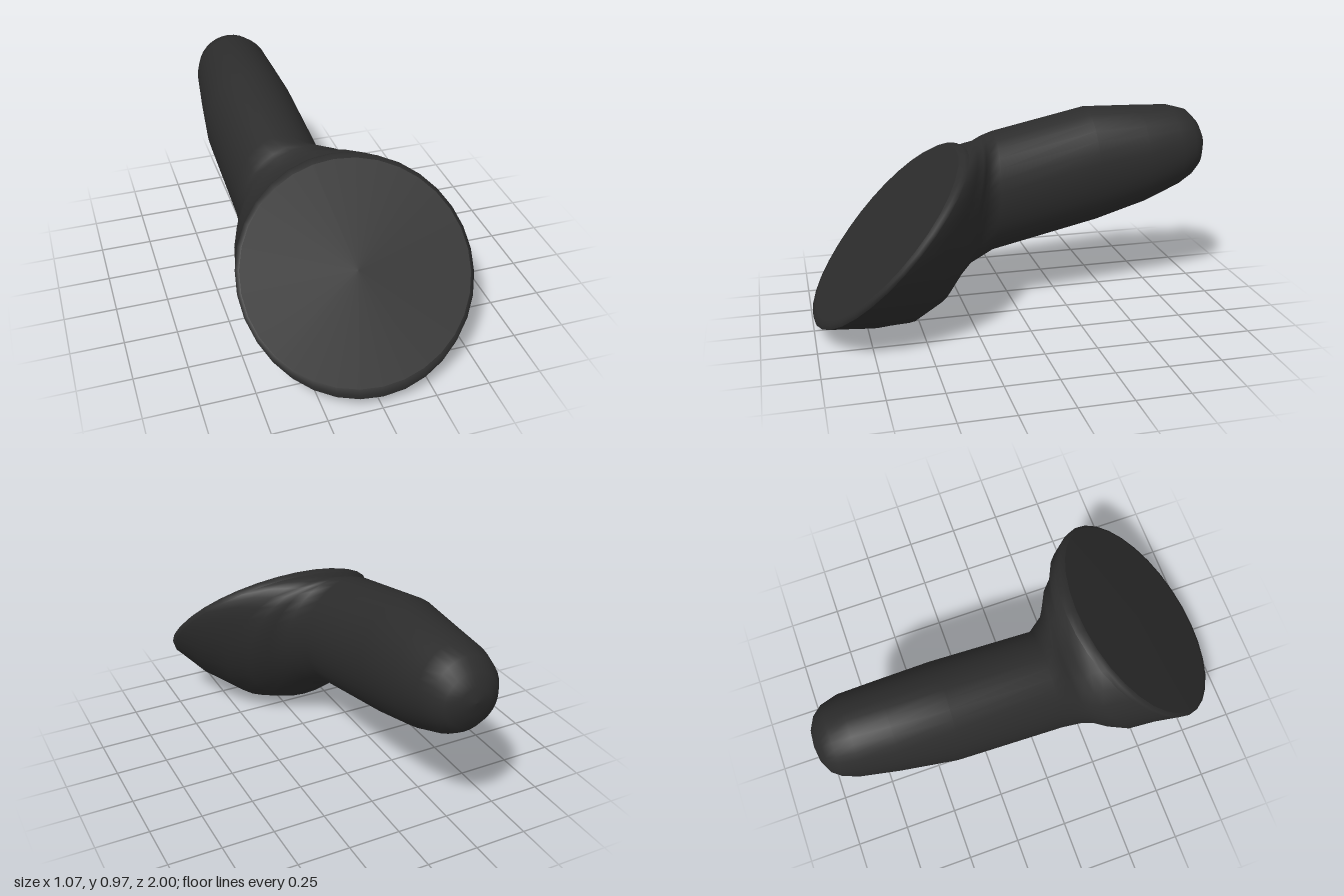
import * as THREE from 'three';

const SIDES = 32;
const material = new THREE.MeshStandardMaterial({ color: 0x2c2c2c });

// Skins elliptical rings, ordered from the face to the handle tip.
// Each ring: [topZ, topY, bottomZ, bottomY, centreX, halfWidth]
function loft(name, rings) {
  const positions = [];
  const index = [];
  rings.forEach(([tz, ty, bz, by, cx, w], i) => {
    for (let j = 0; j < SIDES; j++) {
      const a = (j / SIDES) * Math.PI * 2;
      const s = Math.sin(a) / 2;
      positions.push(
        cx + Math.cos(a) * w,
        (ty + by) / 2 + s * (ty - by),
        (tz + bz) / 2 + s * (tz - bz)
      );
      if (i === 0) continue;
      const k = (j + 1) % SIDES;
      const p = (i - 1) * SIDES;
      const q = i * SIDES;
      index.push(p + j, q + j, q + k, p + j, q + k, p + k);
    }
  });
  const geometry = new THREE.BufferGeometry();
  geometry.setAttribute('position', new THREE.Float32BufferAttribute(positions, 3));
  geometry.setIndex(index);
  geometry.computeVertexNormals();
  const mesh = new THREE.Mesh(geometry, material);
  mesh.name = name;
  return mesh;
}

export function createModel() {
  const group = new THREE.Group();
  group.name = 'roundHeadedHandle';

  const faceEdge = [0.3, 0.85, 0.985, 0.115, 0, 0.52];
  const rimBack = [0.25, 0.85, 0.998, 0.07, 0, 0.53];

  // Flat round face, tilted up and forward
  group.add(loft('face', [
    [0.645, 0.488, 0.645, 0.488, 0, 0.001],
    faceEdge,
  ]));

  // Thin bevelled rim around the face
  group.add(loft('rim', [
    faceEdge,
    [0.272, 0.86, 1, 0.095, 0, 0.537],
    rimBack,
  ]));

  // Bowl behind the face, narrowing into the offset handle with a rounded tip
  group.add(loft('bowlAndHandle', [
    rimBack,
    [0.22, 0.85, 0.77, 0.03, -0.02, 0.48],
    [0.2, 0.85, 0.57, 0.003, -0.07, 0.415],
    [0.17, 0.855, 0.42, 0.07, -0.09, 0.36],
    [0.15, 0.86, 0.32, 0.17, -0.12, 0.305],
    [0.13, 0.865, 0.24, 0.23, -0.15, 0.265],
    [0.08, 0.875, 0.11, 0.28, -0.18, 0.23],
    [-0.39, 0.97, -0.43, 0.39, -0.195, 0.226],
    [-0.65, 0.965, -0.69, 0.47, -0.187, 0.205],
    [-0.82, 0.96, -0.87, 0.55, -0.182, 0.187],
    [-0.91, 0.935, -0.93, 0.59, -0.182, 0.163],
    [-0.96, 0.885, -0.965, 0.63, -0.182, 0.13],
    [-0.99, 0.83, -0.99, 0.7, -0.182, 0.075],
    [-1, 0.765, -1, 0.765, -0.182, 0.001],
  ]));

  return group;
}
